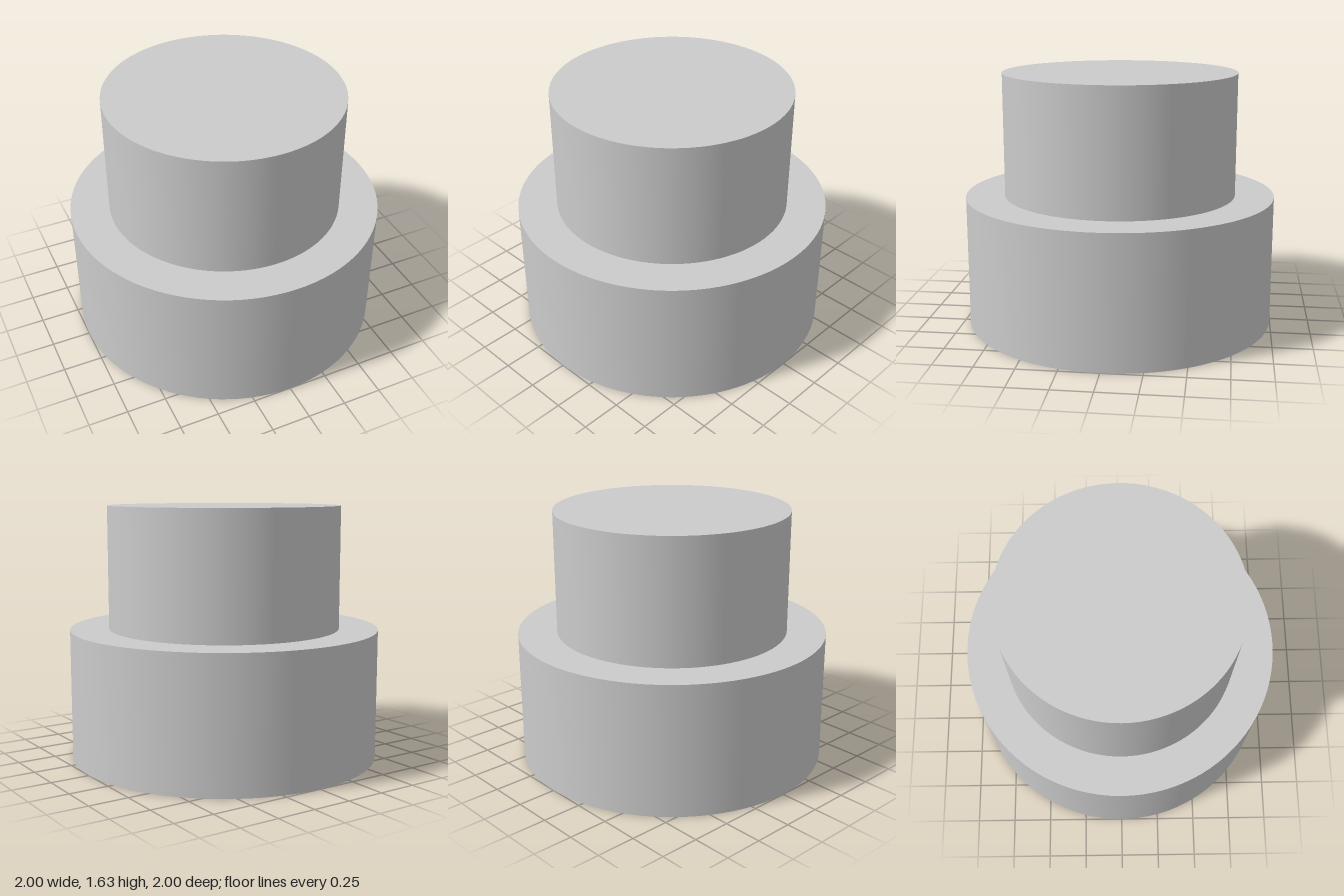
import * as THREE from 'three';

const SEGMENTS = 96;

export function createModel() {
  const group = new THREE.Group();
  group.name = 'steppedCylinder';
  const material = new THREE.MeshStandardMaterial({ color: 0xcccccc });

  // Upright round drum between two heights
  function addDrum(name, radius, bottom, top) {
    const geometry = new THREE.CylinderGeometry(radius, radius, top - bottom, SEGMENTS);
    const mesh = new THREE.Mesh(geometry, material);
    mesh.name = name;
    mesh.position.y = (bottom + top) / 2;
    group.add(mesh);
  }

  // Wide base with a narrower drum standing on it
  addDrum('base', 1, 0, 0.84);
  addDrum('upperDrum', 0.75, 0.84, 1.63);

  return group;
}
